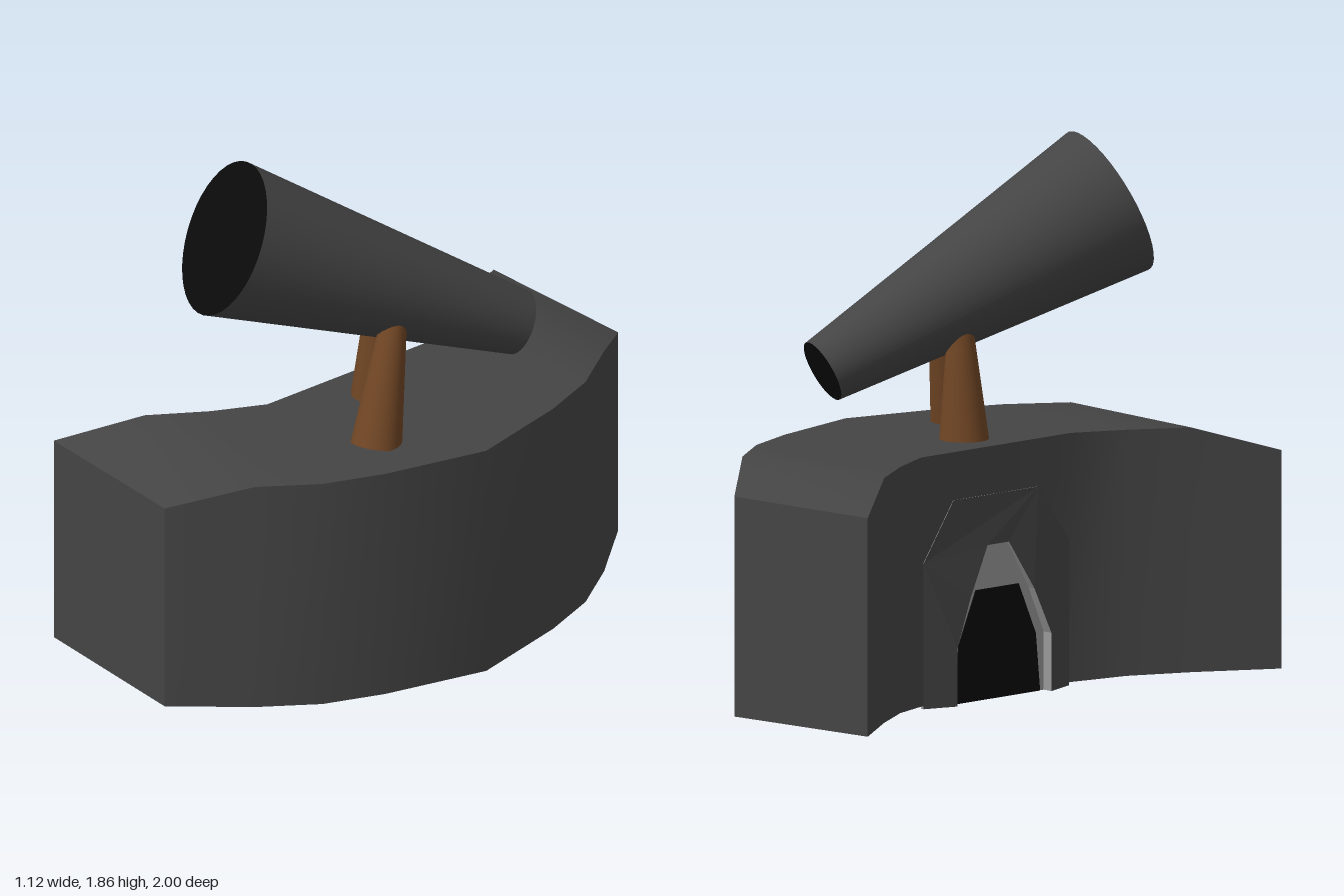
import * as THREE from 'three';
import { toCreasedNormals } from 'three/addons/utils/BufferGeometryUtils.js';

const flat = (name, color, extra = {}) => {
  const m = new THREE.MeshStandardMaterial({ color, ...extra });
  m.name = name;
  return m;
};

export function createModel() {
  const stone = flat('dark stone', 0x444444);
  const black = flat('black', 0x0a0a0a);
  const wood = flat('brown wood', 0x6f4524);
  const grey = flat('light grey', 0x999999, { side: THREE.DoubleSide });

  const model = new THREE.Group();
  const add = (name, geometry, material) => {
    const mesh = new THREE.Mesh(geometry, material);
    mesh.name = name;
    model.add(mesh);
    return mesh;
  };

  // Crescent base: half-plan from the front end to the middle, mirrored in z
  const outer = [[0.06, 1], [0.26, 0.77], [0.39, 0.58], [0.47, 0.37], [0.56, 0]];
  const inner = [[-0.56, 0.97], [-0.38, 0.72], [-0.26, 0.53], [-0.175, 0.35], [-0.175, 0]];
  const low = [0.03, 0.025, 0.02, 0.01, 0];
  const sections = [];
  for (let i = 0; i < 9; i++) {
    const k = i < 5 ? i : 8 - i;
    const s = i < 5 ? 1 : -1;
    const [ox, oz] = outer[k];
    const [ix, iz] = inner[k];
    const top = k === 0 ? 0.78 : 0.865;
    sections.push([
      [ox, 0.025, s * oz], [ox, top, s * oz], [ix, top, s * iz], [ix, low[k], s * iz],
    ]);
  }
  const walls = [];
  const underside = [];
  const quad = (list, a, b, c, d) => list.push(...a, ...b, ...c, ...a, ...c, ...d);
  for (let i = 0; i < 8; i++) {
    const p = sections[i];
    const n = sections[i + 1];
    for (let k = 0; k < 4; k++) {
      const j = (k + 1) % 4;
      quad(k === 3 ? underside : walls, p[k], n[k], n[j], p[j]);
    }
  }
  quad(walls, ...sections[0]);
  quad(walls, ...[...sections[8]].reverse());
  const surface = (points) => {
    const g = new THREE.BufferGeometry();
    g.setAttribute('position', new THREE.Float32BufferAttribute(points, 3));
    g.computeVertexNormals();
    return toCreasedNormals(g, 0.55);
  };
  add('baseWalls', surface(walls), stone);
  add('baseUnderside', surface(underside), black);

  // Doorway in the hollow side: swelling surround, pale arch and dark opening
  const arch = [[0.22, 0], [0.22, 0.2], [0.15, 0.36], [0.05, 0.53],
    [-0.05, 0.53], [-0.15, 0.36], [-0.22, 0.2], [-0.22, 0]];
  const rim = [[-0.34, 0], [-0.34, 0.5], [-0.2, 0.7], [0.2, 0.7], [0.34, 0.5], [0.34, 0]];
  const shapeOf = (points) => new THREE.Shape(points.map(([u, v]) => new THREE.Vector2(u, v)));
  const extrude = (points, depth) => new THREE.ExtrudeGeometry(shapeOf(points), { depth, bevelEnabled: false });

  const surround = extrude([...rim, ...arch], 1);
  const pos = surround.attributes.position;
  for (let i = 0; i < pos.count; i++) {
    const u = pos.getX(i);
    const v = pos.getY(i);
    const a = Math.abs(u);
    const swell = v > 0.6 ? 0 : Math.max(0, Math.min(1, a / 0.2, (0.34 - a) / 0.12));
    const x = pos.getZ(i) > 0.5 ? -0.177 - 0.04 * swell : -0.165;
    pos.setXYZ(i, x, v, u);
  }
  surround.computeVertexNormals();
  add('doorSurround', surround, [stone, grey]);

  const plate = (name, points, x, material) => {
    const mesh = add(name, extrude(points, 0.004), material);
    mesh.rotation.y = -Math.PI / 2;
    mesh.position.x = x;
  };
  plate('doorArch', arch, -0.175, grey);
  plate('doorOpening', [[0.2, 0], [0.18, 0.2], [0.1, 0.38], [-0.1, 0.38], [-0.18, 0.2], [-0.2, 0]], -0.179, black);

  // Tapered tube between two points
  const taper = (name, from, to, r0, r1, material) => {
    const a = new THREE.Vector3(...from);
    const b = new THREE.Vector3(...to);
    const dir = b.clone().sub(a);
    const mesh = add(name, new THREE.CylinderGeometry(r1, r0, dir.length(), 40), material);
    mesh.position.copy(a).add(b).multiplyScalar(0.5);
    mesh.quaternion.setFromUnitVectors(new THREE.Vector3(0, 1, 0), dir.normalize());
  };

  // Telescope with dark lenses on two wooden legs
  taper('telescope', [0.27, 1.11, -0.385], [-0.09, 1.62, 0.61], 0.112, 0.27, [stone, black, black]);
  taper('innerLeg', [-0.005, 0.85, 0.015], [0.02, 1.25, 0.02], 0.086, 0.043, wood);
  taper('outerLeg', [0.267, 0.85, 0.24], [0.215, 1.26, 0.12], 0.088, 0.045, wood);

  return model;
}
